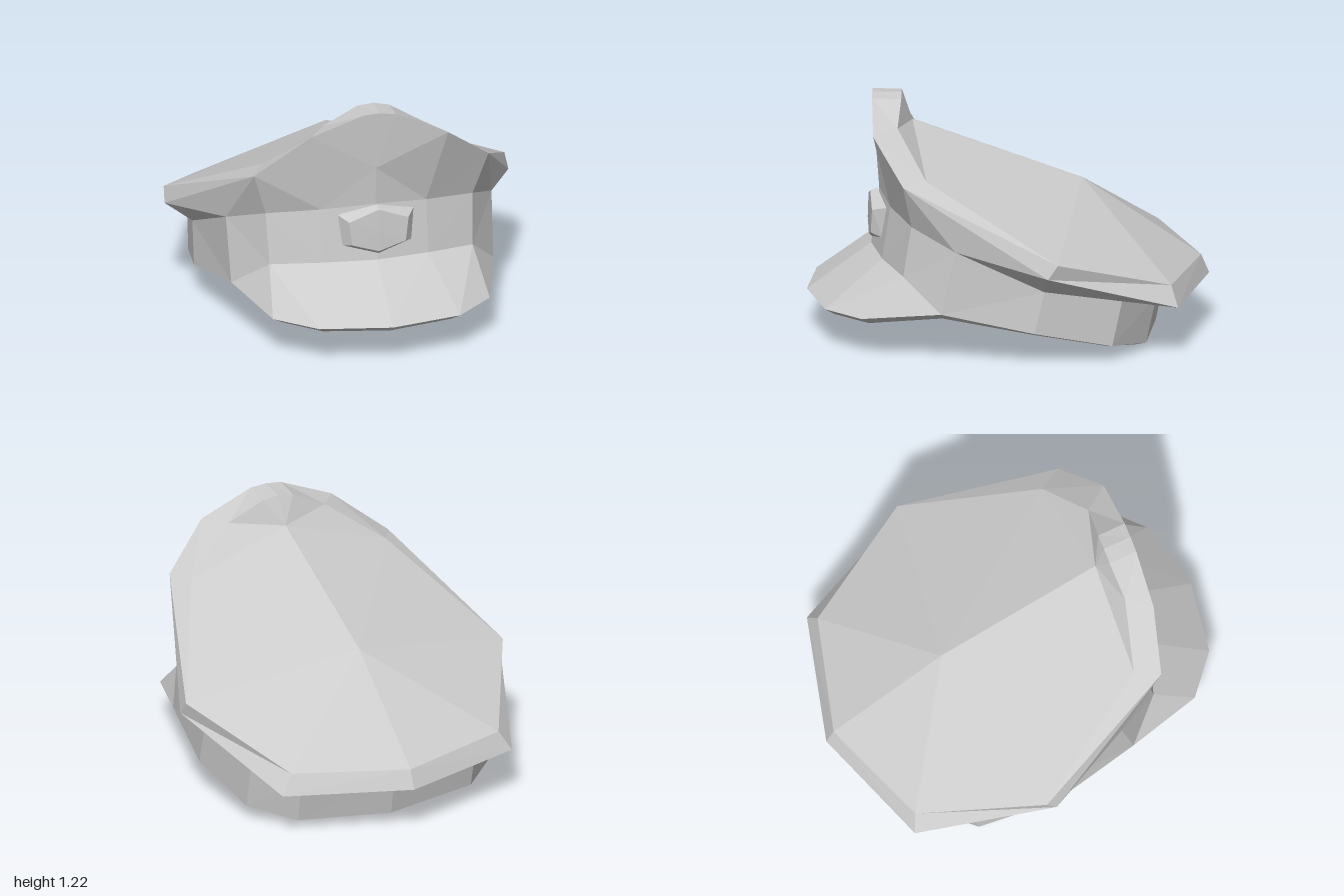
import * as THREE from 'three';

const material = new THREE.MeshStandardMaterial({ color: 0xcccccc, flatShading: true });

// Half outlines, each running from the front centre round the +x side to the back centre.
// Outer bottom edge: visor lip, then the foot of the band
const edge = [[0, 0.2, 1], [0.36, 0.2, 0.93], [0.555, 0.205, 0.76], [0.67, 0.255, 0.37],
  [0.745, 0.17, -0.09], [0.675, 0.08, -0.48], [0.475, 0.035, -0.66], [0, 0.012, -0.735]];
// Inset bottom edge
const sole = [[0, 0.165, 0.95], [0.33, 0.165, 0.88], [0.495, 0.165, 0.72], [0.6, 0.215, 0.36],
  [0.66, 0.14, -0.09], [0.605, 0.06, -0.46], [0.45, 0.018, -0.6], [0, 0, -0.65]];
// Foot of the band, where the visor joins it at the front
const foot = [[0, 0.435, 0.68], [0.27, 0.43, 0.64], [0.52, 0.41, 0.55], ...edge.slice(3)];
// Top of the band
const C = [[0, 0.72, 0.64], [0.27, 0.7, 0.6], [0.53, 0.67, 0.51], [0.68, 0.58, 0.3],
  [0.74, 0.385, -0.14], [0.67, 0.31, -0.53], [0.48, 0.275, -0.71], [0, 0.26, -0.785]];
// Widest edge of the crown
const D = [[0, 1.22, 0.675], [0.08, 1.212, 0.675], [0.345, 1.1, 0.665], [0.6, 0.895, 0.555],
  [0.88, 0.49, -0.15], [0.63, 0.26, -0.81], [0, 0.25, -1]];
// Upper edge of the crown
const T = [[0, 1.218, 0.53], [0.08, 1.205, 0.53], [0.255, 1.11, 0.545], [0.535, 0.905, 0.435],
  [0.872, 0.56, -0.2], [0.57, 0.36, -0.78], [0, 0.345, -0.96]];
const brow = [0, 0.92, 0.655];
const notch = [0, 1.07, 0.475];
const crownCentre = [0, 0.755, -0.37];
const liningCentre = [0, 0.31, 0.02];

const same = (a, b) => a.every((v, i) => Math.abs(v - b[i]) < 1e-6);
const repeat = (p, n) => Array(n).fill(p);
// The raised crest is turned slightly off centre
const turnCrest = ([x, y, z]) => (y > 1.08 ? [x + 0.015, y - 0.03 * x, z + 0.075 * x] : [x, y, z]);

// Joins pairs of half outlines with faces and mirrors them; repeated points give triangles
function shell(name, ...strips) {
  const pos = [];
  const tri = (a, b, c) => {
    if (same(a, b) || same(b, c) || same(a, c)) return;
    for (const p of [a, b, c]) pos.push(...turnCrest(p));
    for (const [x, y, z] of [a, c, b]) pos.push(...turnCrest([-x, y, z]));
  };
  for (const [low, high] of strips) {
    for (let i = 0; i < low.length - 1; i++) {
      tri(low[i], low[i + 1], high[i + 1]);
      tri(low[i], high[i + 1], high[i]);
    }
  }
  const geometry = new THREE.BufferGeometry();
  geometry.setAttribute('position', new THREE.Float32BufferAttribute(pos, 3));
  geometry.computeVertexNormals();
  const mesh = new THREE.Mesh(geometry, material);
  mesh.name = name;
  return mesh;
}

export function createModel() {
  const cap = new THREE.Group();
  cap.name = 'peakedCap';

  cap.add(shell('visor', [edge.slice(0, 4), foot.slice(0, 4)]));
  cap.add(shell('band', [foot, C]));
  cap.add(shell('bottomRim', [sole, edge]));
  cap.add(shell('lining', [repeat(liningCentre, 8), sole]));

  // Flared lower side of the crown, from the band out to the widest edge
  const flareLow = [C[0], C[1], C[1], C[2], C[3], C[3], C[4], C[4], C[5], C[6], C[7], C[7]];
  const flareHigh = [brow, brow, D[2], D[3], D[3], D[4], D[4], D[5], D[5], D[5], D[5], D[6]];
  cap.add(shell('crownSides',
    [flareLow, flareHigh],
    [[brow, brow, D[2]], [D[0], D[1], D[1]]]));
  cap.add(shell('crownRim', [D, T]));

  // Back of the raised crest, then the sloping top panel
  cap.add(shell('crownTop',
    [T.slice(0, 4), repeat(notch, 4)],
    [[notch, ...T.slice(3)], repeat(crownCentre, 5)]));

  // Six-sided badge, from bottom to top
  const badgeBack = [[0, 0.47, 0.68], [0.18, 0.512, 0.635], [0.195, 0.67, 0.615], [0, 0.72, 0.65]];
  const badgeFront = [[0, 0.485, 0.692], [0.137, 0.528, 0.69], [0.152, 0.65, 0.685], [0, 0.705, 0.685]];
  const badge = shell('badge',
    [badgeBack, badgeFront],
    [badgeFront, repeat([0, 0.59, 0.69], 4)]);
  badge.position.x = 0.006;
  cap.add(badge);

  return cap;
}
